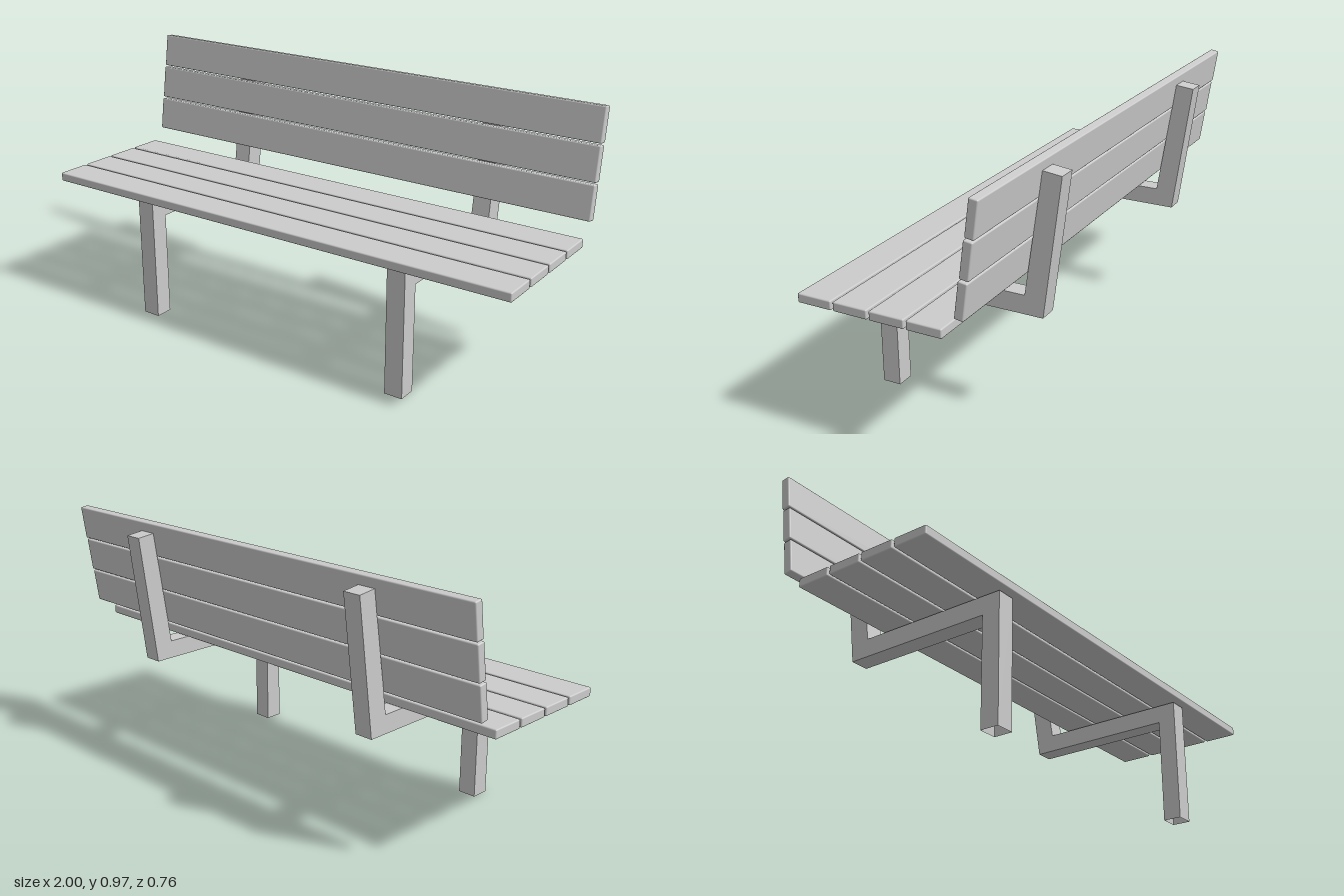
import * as THREE from 'three';
import { RoundedBoxGeometry } from 'three/addons/geometries/RoundedBoxGeometry.js';

const material = new THREE.MeshStandardMaterial({ color: 0xcccccc });
const tubeMaterial = new THREE.MeshStandardMaterial({ color: 0xcccccc, side: THREE.DoubleSide });

const SLAT_WIDTH = 0.131, SLAT_THICKNESS = 0.034, TILT = 0.14;

// Plank running the full length, with lightly eased edges
function slat(name, y, z, tilt = 0) {
  const upright = tilt !== 0;
  const geometry = new RoundedBoxGeometry(
    2, upright ? SLAT_WIDTH : SLAT_THICKNESS, upright ? SLAT_THICKNESS : SLAT_WIDTH, 2, 0.005);
  const mesh = new THREE.Mesh(geometry, material);
  mesh.name = name;
  mesh.position.set(0, y, z);
  mesh.rotation.x = -tilt;
  return mesh;
}

// Square tube with mitred elbows, open at the foot and capped at the top.
// Each station holds the outer and inner edge as [z, y].
function supportGeometry(width) {
  const stations = [
    [[0.351, 0], [0.281, 0]],
    [[0.351, 0.478], [0.281, 0.408]],
    [[-0.24, 0.478], [-0.309, 0.408]],
    [[-0.307, 0.925], [-0.377, 0.917]],
  ];
  const h = width / 2;
  const rings = stations.map(([o, i]) => [
    [-h, o[1], o[0]], [h, o[1], o[0]], [h, i[1], i[0]], [-h, i[1], i[0]],
  ]);
  const positions = [];
  const quad = (a, b, c, d) => positions.push(...a, ...b, ...c, ...a, ...c, ...d);
  for (let s = 0; s < rings.length - 1; s++) {
    for (let k = 0; k < 4; k++) {
      const n = (k + 1) % 4;
      quad(rings[s][k], rings[s][n], rings[s + 1][n], rings[s + 1][k]);
    }
  }
  quad(...rings[rings.length - 1]);
  const geometry = new THREE.BufferGeometry();
  geometry.setAttribute('position', new THREE.Float32BufferAttribute(positions, 3));
  geometry.computeVertexNormals();
  return geometry;
}

export function createModel() {
  const bench = new THREE.Group();
  bench.name = 'bench';

  // Seat planks, front to back
  const seat = new THREE.Group();
  seat.name = 'seat';
  for (let i = 0; i < 4; i++) seat.add(slat(`seatSlat${i + 1}`, 0.501, 0.313 - i * 0.1395));

  // Reclined backrest planks, bottom to top
  const backrest = new THREE.Group();
  backrest.name = 'backrest';
  for (let i = 0; i < 3; i++) {
    backrest.add(slat(`backSlat${i + 1}`, 0.627 + i * 0.136, -0.242 - i * 0.022, TILT));
  }

  // One bent support on each side: leg, seat rail and back post
  const geometry = supportGeometry(0.071);
  for (const [name, x] of [['leftSupport', 0.565], ['rightSupport', -0.567]]) {
    const support = new THREE.Mesh(geometry, tubeMaterial);
    support.name = name;
    support.position.x = x;
    bench.add(support);
  }

  bench.add(seat, backrest);
  return bench;
}
